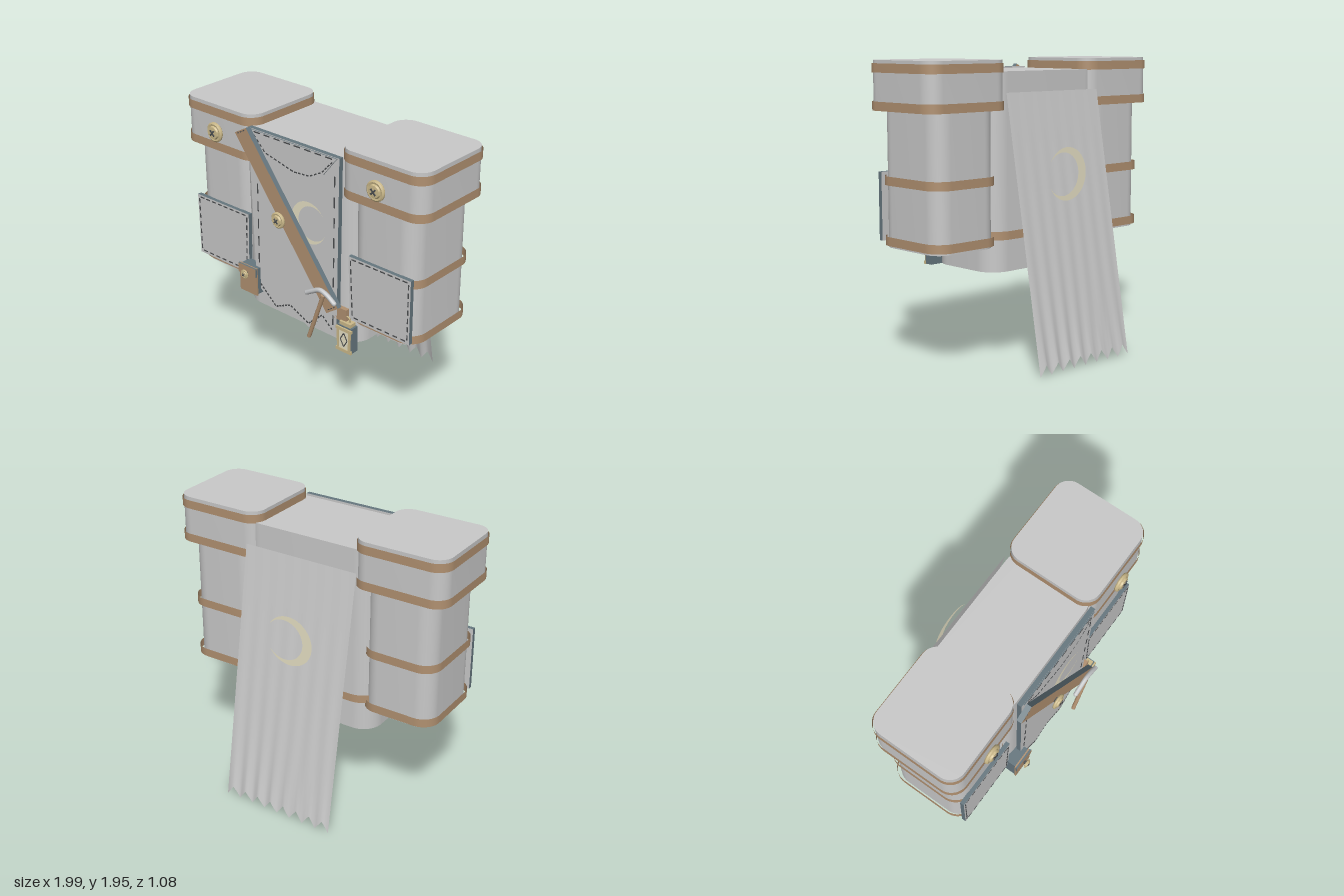
import * as THREE from 'three';
import { mergeGeometries, toCreasedNormals } from 'three/addons/utils/BufferGeometryUtils.js';

const mat = (name, color, double) => {
  const m = new THREE.MeshStandardMaterial({ color });
  m.name = name;
  if (double) m.side = THREE.DoubleSide;
  return m;
};

export function createModel() {
  const cloth = mat('cloth grey', 0xc8c8c8, true);
  const leather = mat('leather tan', 0xb09070, true);
  const slate = mat('slate edge', 0x65767e);
  const brass = mat('brass', 0xcbb98a);
  const cream = mat('cream', 0xe6e0c4, true);
  const thread = mat('dark thread', 0x4c4e50);
  const steel = mat('light steel', 0xc6c8ca);

  const root = new THREE.Group();
  const add = (name, geo, material, x = 0, y = 0, z = 0, parent = root) => {
    const m = new THREE.Mesh(geo, material);
    m.name = name;
    m.position.set(x, y, z);
    parent.add(m);
    return m;
  };
  const box = (name, w, h, d, material, x, y, z, parent) =>
    add(name, new THREE.BoxGeometry(w, h, d), material, x, y, z, parent);

  // Upright shell with a rounded rectangular footprint, open below, with an optional top
  const shell = (name, x0, x1, z0, z1, y0, y1, r, material, topped) => {
    const s = new THREE.Shape();
    const a = -z1, b = -z0;
    s.moveTo(x0 + r, a);
    s.lineTo(x1 - r, a);
    s.absarc(x1 - r, a + r, r, -Math.PI / 2, 0);
    s.lineTo(x1, b - r);
    s.absarc(x1 - r, b - r, r, 0, Math.PI / 2);
    s.lineTo(x0 + r, b);
    s.absarc(x0 + r, b - r, r, Math.PI / 2, Math.PI);
    s.lineTo(x0, a + r);
    s.absarc(x0 + r, a + r, r, Math.PI, Math.PI * 1.5);
    const solid = new THREE.ExtrudeGeometry(s, { depth: y1 - y0, bevelEnabled: false, curveSegments: 8 });
    const { start, count } = solid.groups[1];
    const walls = new THREE.BufferGeometry();
    walls.setAttribute('position', new THREE.BufferAttribute(
      solid.attributes.position.array.slice(start * 3, (start + count) * 3), 3));
    walls.rotateX(-Math.PI / 2);
    add(name, toCreasedNormals(walls, 0.6), material, 0, y0, 0);
    if (topped) add(name + 'Top', new THREE.ShapeGeometry(s, 8).rotateX(-Math.PI / 2), material, 0, y1, 0);
  };

  // Flat panel cut from an outline, with differently coloured edges
  const panel = (name, pts, z0, z1, face, edge) => {
    const s = new THREE.Shape(pts.map(p => new THREE.Vector2(...p)));
    const g = new THREE.ExtrudeGeometry(s, { depth: z1 - z0, bevelEnabled: false });
    return add(name, g, [face, edge], 0, 0, z0);
  };

  // Row of dashes along a polyline
  const stitches = (name, pts, z, dash = 0.035, gap = 0.025, w = 0.008) => {
    const parts = [];
    for (let i = 0; i + 1 < pts.length; i++) {
      const [ax, ay] = pts[i], [bx, by] = pts[i + 1];
      const n = Math.max(1, Math.round(Math.hypot(bx - ax, by - ay) / (dash + gap)));
      for (let k = 0; k < n; k++) {
        const t = (k + 0.5) / n;
        const g = new THREE.BoxGeometry(dash, w, 0.004);
        g.rotateZ(Math.atan2(by - ay, bx - ax));
        g.translate(ax + (bx - ax) * t, ay + (by - ay) * t, z);
        parts.push(g);
      }
    }
    add(name, mergeGeometries(parts), thread);
  };

  // Round button: broad disc, raised centre and crossed thread
  const button = (name, x, y, z, r) => {
    const g = new THREE.Group();
    g.name = name;
    g.position.set(x, y, z);
    const profile = [[0, 0], [0.9, 0], [1, 0.12], [1, 0.28], [0.86, 0.38], [0.68, 0.34], [0.6, 0.52], [0, 0.58]];
    const disc = new THREE.LatheGeometry(profile.map(p => new THREE.Vector2(p[0] * r, p[1] * r)), 28);
    disc.rotateX(Math.PI / 2);
    add('buttonDisc', toCreasedNormals(disc, 0.5), brass, 0, 0, 0, g);
    for (const a of [1, -1])
      box('buttonThread', r * 0.75, r * 0.15, 0.006, thread, 0, 0, r * 0.59, g).rotation.z = a * Math.PI / 4;
    root.add(g);
  };

  const crescent = (name, x, y, z, r) => {
    const a = 0.5, d = r * 0.22;
    const px = r * Math.cos(a), py = r * Math.sin(a);
    const b = Math.atan2(py, px - d);
    const s = new THREE.Shape();
    s.absarc(0, 0, r, a, Math.PI * 2 - a, false);
    s.absarc(d, 0, Math.hypot(px - d, py), Math.PI * 2 - b, b, true);
    return add(name, new THREE.ShapeGeometry(s, 28), cream, x, y, z);
  };

  // Central bag with a strap round its back
  shell('mainBag', -0.5, 0.485, -0.183, 0.392, 0.612, 1.88, 0.14, cloth, true);
  shell('mainBagBand', -0.505, 0.49, -0.203, 0.3, 0.82, 0.875, 0.15, leather);

  // Side pouches, lids, bands and front pockets
  for (const s of [-1, 1]) {
    const side = (name, a, b, ...rest) => shell(name, Math.min(a * s, b * s), Math.max(a * s, b * s), ...rest);
    side('sidePouch', 0.425, 0.917, -0.175, 0.378, 0.775, 1.9, 0.11, cloth);
    for (const y of [0.79, 1.173]) side('pouchBand', 0.41, 0.938, -0.195, 0.39, y, y + 0.057, 0.12, leather);
    side('pouchLid', 0.355, 0.988, -0.207, 0.412, 1.645, 1.952, 0.1, cloth, true);
    for (const y of [1.64, 1.875]) side('lidBand', 0.35, 0.997, -0.216, 0.42, y, y + 0.057, 0.107, leather);
    button('lidButton', s * 0.67, 1.775, 0.43, 0.066);

    const outline = [[0.915, 0.81], [0.915, 1.25], [0.43, 1.25], [0.445, 0.81]].map(p => [p[0] * s, p[1]]);
    panel('frontPocket', outline, 0.375, 0.404, cloth, slate);
    stitches('pocketStitches', [[0.448, 1.235], [0.465, 0.83], [0.9, 0.83], [0.9, 1.235], [0.448, 1.235]]
      .map(p => [p[0] * s, p[1]]), 0.405);
  }

  // Front flap with a ragged lower edge
  panel('frontFlap', [[-0.37, 1.89], [-0.345, 0.79], [-0.17, 0.645], [-0.04, 0.71], [0.12, 0.63],
    [0.24, 0.74], [0.36, 0.66], [0.385, 1.89]], 0.403, 0.435, cloth, slate);
  stitches('flapSideStitches', [[-0.3, 1.8], [-0.315, 0.8]], 0.436, 0.07, 0.06);
  stitches('flapSideStitches', [[0.35, 1.8], [0.33, 0.7]], 0.436, 0.07, 0.06);
  stitches('flapHemStitches', [[-0.31, 0.8], [-0.17, 0.675], [-0.04, 0.735], [0.12, 0.66], [0.24, 0.77], [0.33, 0.69]],
    0.436, 0.016, 0.012, 0.01);
  crescent('flapMoon', 0.135, 1.39, 0.438, 0.142).rotation.z = 0.1;
  // Folded upper cover
  panel('upperFlap', [[-0.35, 1.885], [-0.23, 1.745], [0.02, 1.685], [0.15, 1.695], [0.26, 1.75], [0.37, 1.885]],
    0.434, 0.442, cloth, slate);
  stitches('upperFlapStitches', [[-0.32, 1.86], [-0.22, 1.76], [0.02, 1.702], [0.15, 1.712], [0.25, 1.765], [0.34, 1.86]],
    0.443, 0.02, 0.014);
  stitches('flapTopStitches', [[-0.33, 1.876], [0.35, 1.876]], 0.443, 0.05, 0.04);

  // Diagonal strap
  panel('diagonalStrap', [[-0.44, 1.85], [0.32, 0.838], [0.415, 0.905], [-0.34, 1.905]], 0.45, 0.485, leather, slate);
  stitches('strapStitches', [[-0.42, 1.848], [-0.35, 1.888]], 0.486, 0.014, 0.01, 0.006);
  stitches('strapStitches', [[0.33, 0.865], [0.395, 0.912]], 0.486, 0.014, 0.01, 0.006);
  button('strapButton', -0.06, 1.37, 0.497, 0.054);
  box('strapButtonStem', 0.03, 0.03, 0.016, thread, -0.06, 1.37, 0.49);

  // Small leather pouch
  box('smallPouch', 0.145, 0.19, 0.09, slate, -0.38, 0.82, 0.43);
  box('smallPouchFront', 0.155, 0.2, 0.012, leather, -0.38, 0.82, 0.472);
  panel('smallPouchFlap', [[-0.46, 0.922], [-0.46, 0.86], [-0.42, 0.83], [-0.34, 0.83], [-0.3, 0.86], [-0.3, 0.922]],
    0.476, 0.488, leather, slate);
  box('smallPouchStem', 0.02, 0.02, 0.02, thread, -0.38, 0.87, 0.495);
  button('smallPouchButton', -0.38, 0.87, 0.505, 0.032);

  // Lantern hanging from a leather tab
  box('lanternTab', 0.1, 0.09, 0.03, leather, 0.39, 0.835, 0.42);
  const lantern = new THREE.Group();
  lantern.name = 'lantern';
  lantern.position.set(0.443, 0, 0.425);
  root.add(lantern);
  box('lanternBody', 0.118, 0.18, 0.06, slate, 0, 0.685, 0, lantern);
  box('lanternRoof', 0.09, 0.03, 0.05, brass, 0, 0.785, 0, lantern);
  add('lanternRing', new THREE.TorusGeometry(0.022, 0.006, 6, 16), brass, 0, 0.812, 0, lantern);
  box('lanternPane', 0.076, 0.13, 0.006, cream, 0, 0.68, 0.032, lantern);
  for (const s of [-1, 1]) {
    box('lanternPost', 0.016, 0.17, 0.014, brass, s * 0.046, 0.68, 0.033, lantern);
    box('lanternRail', 0.125, 0.022, 0.016, brass, 0, 0.68 + s * 0.076, 0.033, lantern);
    for (const v of [-1, 1])
      box('lanternDiamond', 0.055, 0.007, 0.004, thread, s * 0.014, 0.68 + v * 0.025, 0.035, lantern)
        .rotation.z = -s * v * 1.06;
  }

  // Pickaxe
  const handle = add('pickHandle', new THREE.CylinderGeometry(0.014, 0.014, 0.37, 10), leather, 0.25, 0.797, 0.505);
  handle.rotation.z = -0.345;
  const arc = new THREE.CatmullRomCurve3([[0.178, 0.945], [0.23, 0.975], [0.29, 1.002], [0.35, 0.985], [0.405, 0.948]]
    .map(p => new THREE.Vector3(p[0], p[1], 0.508)));
  add('pickHead', new THREE.TubeGeometry(arc, 20, 0.016, 8), steel);
  for (const t of [0, 1]) {
    const p = arc.getPoint(t);
    add('pickTip', new THREE.SphereGeometry(0.016, 10, 8), steel, p.x, p.y, p.z);
  }

  // Pleated cape, swept backwards, with a torn hem
  const cape = new THREE.PlaneGeometry(0.82, 1, 64, 16);
  const pos = cape.attributes.position;
  for (let i = 0; i < pos.count; i++) {
    const t = 0.5 - pos.getY(i);
    const u = pos.getX(i) / 0.82 + 0.5;
    const tooth = 1 - Math.abs(((u * 8) % 1) * 2 - 1);
    pos.setY(i, 1.75 * (1 - t) + 0.07 * tooth * Math.pow(t, 6));
    pos.setZ(i, -0.24 - 0.302 * t + 0.004 * t * Math.sin(u * Math.PI * 14));
  }
  cape.computeVertexNormals();
  add('cape', cape, cloth);
  crescent('capeMoon', 0, 1.225, -0.37, 0.172);

  return root;
}
